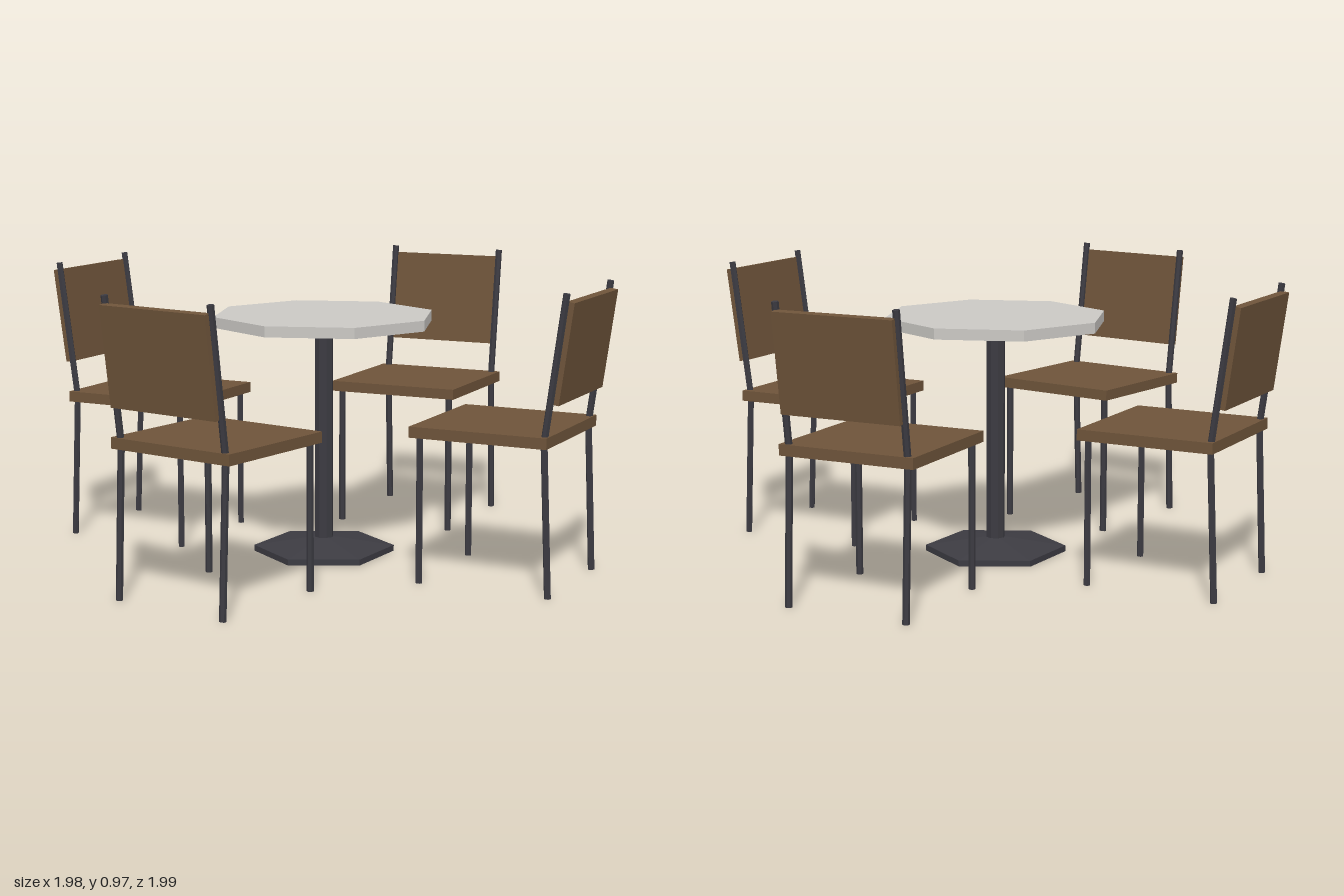
import * as THREE from 'three';

const mat = (name, color) => {
  const m = new THREE.MeshStandardMaterial({ color });
  m.name = name;
  m.flatShading = true;
  return m;
};

function add(parent, name, geometry, material, x = 0, y = 0, z = 0) {
  const mesh = new THREE.Mesh(geometry, material);
  mesh.name = name;
  mesh.position.set(x, y, z);
  parent.add(mesh);
  return mesh;
}

// Thin six-sided rod between two points
function rod(parent, name, a, b, material) {
  const from = new THREE.Vector3(...a), to = new THREE.Vector3(...b);
  const dir = to.clone().sub(from);
  const mesh = add(parent, name, new THREE.CylinderGeometry(0.0115, 0.0115, dir.length(), 6), material);
  mesh.position.copy(from).add(to).multiplyScalar(0.5);
  mesh.quaternion.setFromUnitVectors(new THREE.Vector3(0, 1, 0), dir.normalize());
}

// Chair facing +z, with its origin under the seat centre
function makeChair(wood, metal) {
  const chair = new THREE.Group();
  add(chair, 'seat', new THREE.BoxGeometry(0.47, 0.036, 0.465), wood, 0, 0.498, 0);
  const panel = add(chair, 'backrest', new THREE.BoxGeometry(0.415, 0.325, 0.026), wood, 0, 0.778, -0.27);
  panel.rotation.x = -0.14;
  for (const side of [-1, 1]) {
    const x = side * 0.208;
    rod(chair, 'frontLeg', [x, 0, 0.205], [x, 0.49, 0.205], metal);
    rod(chair, 'backLeg', [x, 0, -0.236], [x, 0.5, -0.215], metal);
    rod(chair, 'backPost', [x, 0.495, -0.215], [x, 0.965, -0.28], metal);
  }
  return chair;
}

export function createModel() {
  const model = new THREE.Group();
  const wood = mat('brown wood', 0x6e543a);
  const metal = mat('dark metal', 0x3c3b42);
  const stone = mat('pale stone', 0xcac8c4);

  // Pedestal table: octagonal top, pole, hexagonal foot
  const table = new THREE.Group();
  table.name = 'table';
  table.position.set(-0.004, 0, -0.003);
  add(table, 'tableTop', new THREE.CylinderGeometry(0.381, 0.381, 0.036, 8), stone, 0, 0.804, 0);
  add(table, 'pole', new THREE.CylinderGeometry(0.032, 0.032, 0.75, 8), metal, 0, 0.413, 0);
  add(table, 'footRim', new THREE.CylinderGeometry(0.24, 0.24, 0.02, 6), metal, 0, 0.01, 0);
  add(table, 'footSlope', new THREE.CylinderGeometry(0.03, 0.238, 0.032, 6, 1, true), metal, 0, 0.036, 0);
  model.add(table);

  // Four chairs around the table, each turned slightly off square
  const places = [
    ['frontChair', 0, 0.665, Math.PI - 0.106],
    ['backChair', 0, -0.677, 0.086],
    ['leftChair', 0.67, -0.003, -Math.PI / 2 + 0.066],
    ['rightChair', -0.677, -0.005, Math.PI / 2 + 0.05],
  ];
  for (const [name, x, z, turn] of places) {
    const chair = makeChair(wood, metal);
    chair.name = name;
    chair.position.set(x, 0, z);
    chair.rotation.y = turn;
    model.add(chair);
  }
  return model;
}
